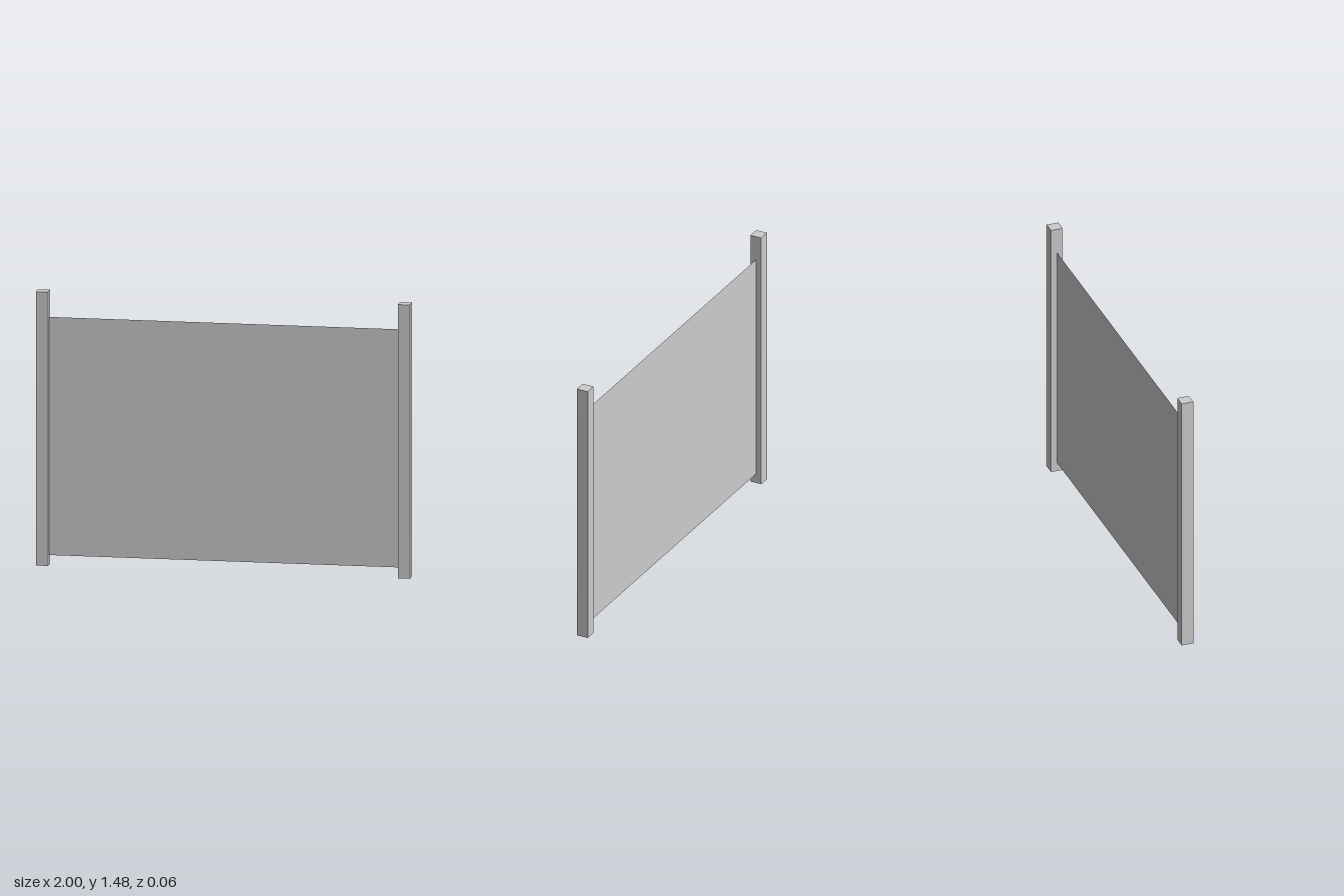
import * as THREE from 'three';

const POST_WIDTH = 0.065;
const POST_HEIGHT = 1.475;
const PANEL_BOTTOM = 0.052;
const PANEL_TOP = 1.335;

export function createModel() {
  const group = new THREE.Group();
  group.name = 'fencePanel';
  const postMaterial = new THREE.MeshStandardMaterial({ color: 0xcccccc, flatShading: true });
  const panelMaterial = new THREE.MeshStandardMaterial({ color: 0xcccccc, side: THREE.DoubleSide });

  // Square posts at both ends
  const postGeometry = new THREE.BoxGeometry(POST_WIDTH, POST_HEIGHT, POST_WIDTH);
  for (const [name, side] of [['leftPost', 1], ['rightPost', -1]]) {
    const post = new THREE.Mesh(postGeometry, postMaterial);
    post.name = name;
    post.position.set(side * (1 - POST_WIDTH / 2), POST_HEIGHT / 2, 0);
    group.add(post);
  }

  // Thin sheet stretched between the posts
  const panel = new THREE.Mesh(
    new THREE.PlaneGeometry(2 - 2 * POST_WIDTH, PANEL_TOP - PANEL_BOTTOM),
    panelMaterial
  );
  panel.name = 'panel';
  panel.position.y = (PANEL_TOP + PANEL_BOTTOM) / 2;
  group.add(panel);

  return group;
}
